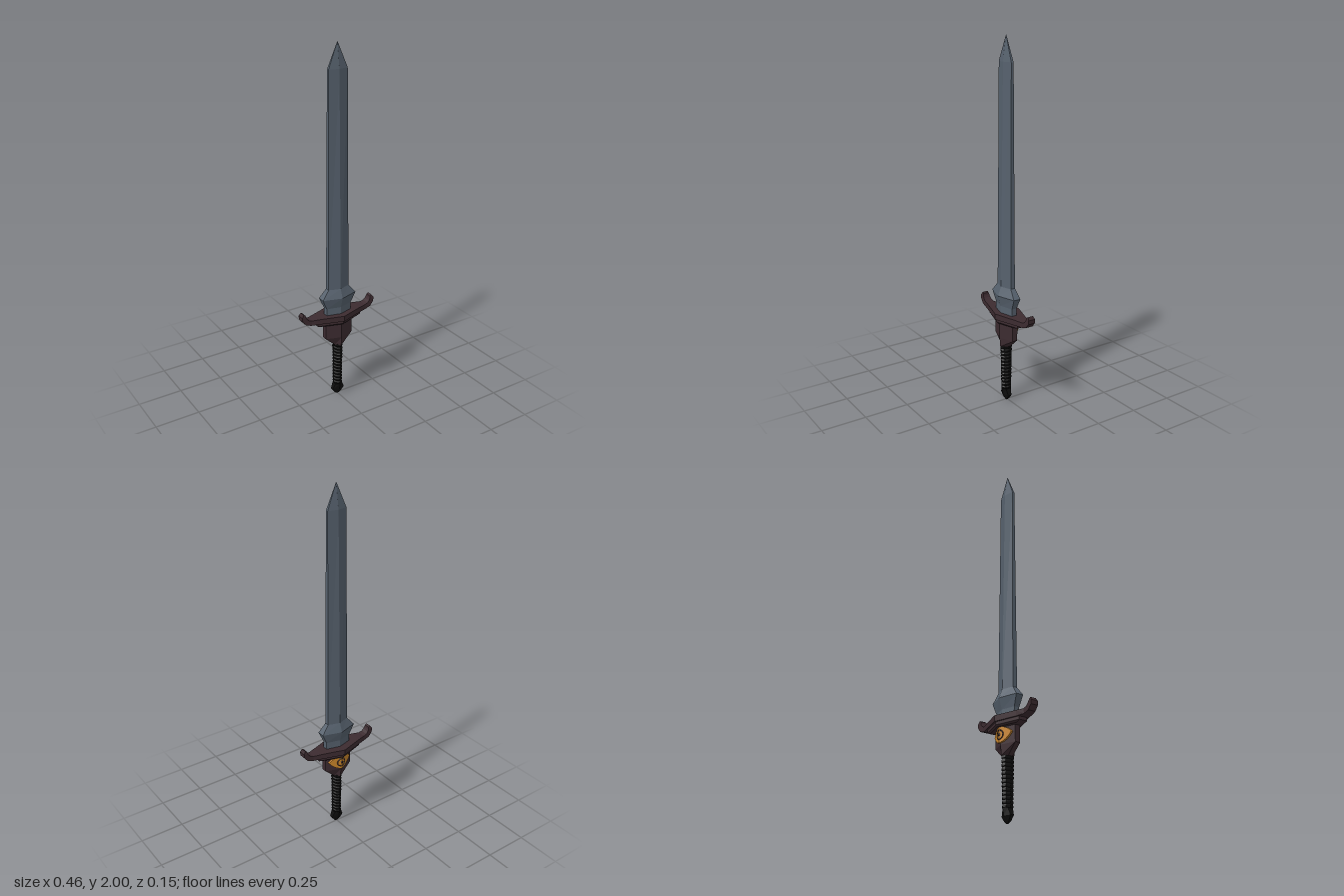
import * as THREE from 'three';

const mat = (color) => new THREE.MeshStandardMaterial({ color, flatShading: true });
const steel = mat(0x56616d), wood = mat(0x3c2b30), black = mat(0x0c0c0c), gold = mat(0xc8842a);
const ZC = 0.005; // blade and grip sit slightly forward of the guard

// Skin a list of rings (arrays of [x, y, z]) and close both ends
function loft(name, rings, material) {
  const n = rings[0].length, pos = rings.flat(2), index = [];
  for (let i = 0; i < rings.length - 1; i++) {
    for (let j = 0; j < n; j++) {
      const a = i * n + j, b = i * n + (j + 1) % n;
      index.push(a, a + n, b, b, a + n, b + n);
    }
  }
  const last = (rings.length - 1) * n;
  for (let j = 1; j < n - 1; j++) {
    index.push(0, j, j + 1, last, last + j + 1, last + j);
  }
  const indexed = new THREE.BufferGeometry();
  indexed.setAttribute('position', new THREE.Float32BufferAttribute(pos, 3));
  indexed.setIndex(index);
  const geometry = indexed.toNonIndexed();
  geometry.computeVertexNormals();
  const mesh = new THREE.Mesh(geometry, material);
  mesh.name = name;
  return mesh;
}

// Flattened hexagon: half width w, centre ridge depth d, side edge depth e
const hexRing = ([y, w, d, e], zc = ZC) => [
  [w, y, zc - e], [w, y, zc + e], [0, y, zc + d],
  [-w, y, zc + e], [-w, y, zc - e], [0, y, zc - d],
];

// Elliptical ring with eight sides
const ovalRing = (y, w, d) => Array.from({ length: 8 }, (_, i) => {
  const t = (i / 8) * Math.PI * 2;
  return [w * Math.cos(t), y, ZC + d * Math.sin(t)];
});

// Crossguard: rectangular section swept along x, curling up at the ends
function makeGuard() {
  // x, y, half thickness, half depth, tilt
  const half = [
    [0, 0.514, 0.016, 0.077, 0], [0.13, 0.514, 0.015, 0.036, 0],
    [0.175, 0.514, 0.014, 0.024, 0.15], [0.2, 0.522, 0.015, 0.022, 0.65],
    [0.216, 0.54, 0.015, 0.021, 1.25], [0.22, 0.557, 0.012, 0.02, 1.65],
    [0.216, 0.571, 0.006, 0.016, 2.1],
  ];
  const path = [
    ...half.slice(1).reverse().map(([x, y, h, d, a]) => [-x, y, h, d, -a]),
    ...half,
  ];
  const rings = path.map(([x, y, h, d, a]) => {
    const nx = Math.sin(a) * h, ny = -Math.cos(a) * h;
    return [[x + nx, y + ny, -d], [x + nx, y + ny, d], [x - nx, y - ny, d], [x - nx, y - ny, -d]];
  });
  return loft('crossguard', rings, wood);
}

// Eye-shaped ornament folded over the ridge at the back of the hilt block
function makeOrnament() {
  const group = new THREE.Group();
  group.name = 'backOrnament';
  const fold = (geometry, lift) => {
    const p = geometry.attributes.position;
    for (let i = 0; i < p.count; i++) {
      const x = p.getX(i);
      p.setZ(i, ZC - (0.044 - 0.029 * Math.abs(x) / 0.085) - lift - p.getZ(i));
      p.setX(i, -x);
      p.setY(i, p.getY(i) + 0.434);
    }
    geometry.computeVertexNormals();
    return geometry;
  };
  const add = (name, geometry, lift, material) => {
    const mesh = new THREE.Mesh(fold(geometry, lift), material);
    mesh.name = name;
    group.add(mesh);
  };
  // Two halves meet on the ridge so the fold stays crisp
  for (const s of [1, -1]) {
    const eye = new THREE.Shape();
    eye.moveTo(0, -0.042);
    eye.quadraticCurveTo(s * 0.042, -0.036, s * 0.072, 0.006);
    eye.quadraticCurveTo(s * 0.04, 0.04, 0, 0.042);
    const plate = new THREE.ExtrudeGeometry(eye, { depth: 0.012, bevelEnabled: false, curveSegments: 8 });
    add(s > 0 ? 'plateRight' : 'plateLeft', plate, -0.002, gold);
  }
  add('inlayRing', new THREE.TorusGeometry(0.024, 0.003, 6, 24), 0.01, wood);
  add('inlayStud', new THREE.SphereGeometry(0.008, 10, 8), 0.008, wood);
  return group;
}

export function createModel() {
  const model = new THREE.Group();
  model.name = 'sword';

  // Blade with its flared collar: y, half width, ridge depth, edge depth
  model.add(loft('blade', [
    [0.52, 0.077, 0.036, 0.015], [0.57, 0.078, 0.036, 0.015],
    [0.63, 0.105, 0.053, 0.021], [0.68, 0.064, 0.034, 0.013],
    [1.87, 0.056, 0.019, 0.007], [2.0, 0.001, 0.001, 0.0005],
  ].map((r) => hexRing(r)), steel));

  model.add(makeGuard());

  // Stepped plate below the guard
  model.add(loft('guardPlate', [
    [0.473, 0.115, 0.06, 0.022], [0.482, 0.138, 0.068, 0.024], [0.5, 0.138, 0.068, 0.024],
  ].map((r) => hexRing(r, 0)), wood));

  // Hilt block tapering into the grip
  model.add(loft('hiltBlock', [
    [0.33, 0.025, 0.039, 0.013], [0.385, 0.085, 0.044, 0.015], [0.478, 0.085, 0.044, 0.015],
  ].map((r) => hexRing(r)), wood));

  model.add(makeOrnament());

  // Wrapped grip with evenly spaced ribs
  const rings = [];
  const ribs = 13, bottom = 0.07, top = 0.335, step = (top - bottom) / ribs;
  for (let i = 0; i < ribs; i++) {
    const y = bottom + i * step, d = 0.028 + 0.007 * (i / ribs);
    rings.push(ovalRing(y, 0.021, d - 0.002), ovalRing(y + step * 0.3, 0.025, d + 0.002),
      ovalRing(y + step * 0.7, 0.025, d + 0.002));
  }
  rings.push(ovalRing(top, 0.022, 0.036));
  model.add(loft('grip', rings, black));

  // Faceted pommel
  model.add(loft('pommel', [
    [0, 0.008, 0.004, 0.002], [0.012, 0.02, 0.012, 0.007], [0.036, 0.037, 0.023, 0.01],
    [0.072, 0.022, 0.03, 0.015],
  ].map((r) => hexRing(r)), black));

  return model;
}
